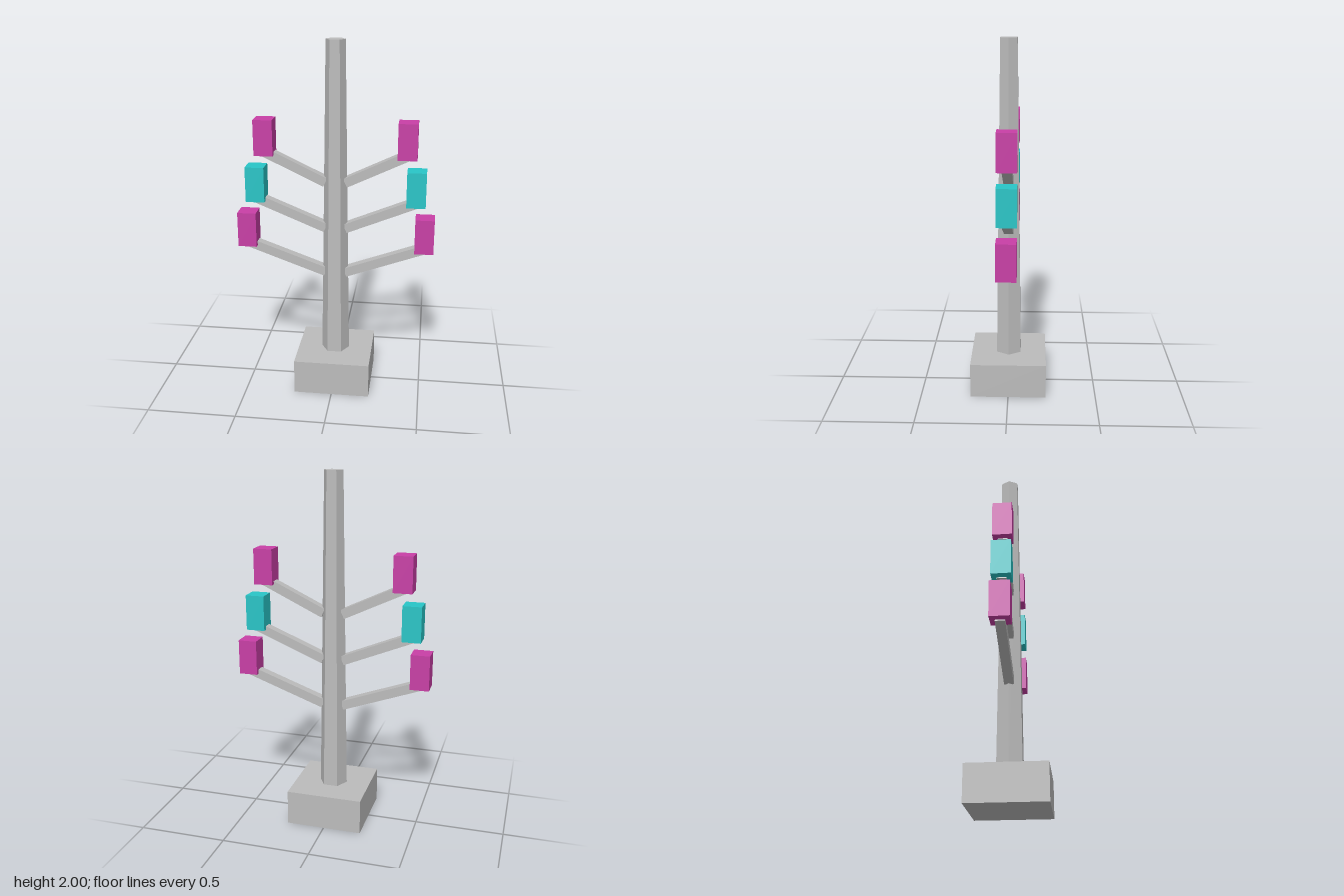
import * as THREE from 'three';

const material = (name, color) => Object.assign(new THREE.MeshStandardMaterial({ color }), { name });

export function createModel() {
  const grey = material('grey', 0xbcbcbc);
  const magenta = material('magenta', 0xc83fa6);
  const cyan = material('cyan', 0x29c5c7);
  const model = new THREE.Group();
  model.name = 'lampTree';

  const add = (name, geometry, mat, x, y, z = 0) => {
    const mesh = new THREE.Mesh(geometry, mat);
    mesh.name = name;
    mesh.position.set(x, y, z);
    model.add(mesh);
    return mesh;
  };

  // Square plinth
  add('base', new THREE.BoxGeometry(0.43, 0.2, 0.43), grey, 0, 0.1);

  // Tapered six-sided trunk with corners pointing left and right
  const trunk = new THREE.CylinderGeometry(0.053, 0.08, 1.8, 6).rotateY(Math.PI / 2).toNonIndexed();
  trunk.computeVertexNormals();
  add('trunk', trunk, grey, 0, 1.1);

  // Mirrored tiers of sloping arms, each carrying an upright block
  const tiers = [
    { reach: 0.5, y: 0.69, mat: magenta },
    { reach: 0.447, y: 0.958, mat: cyan },
    { reach: 0.393, y: 1.225, mat: magenta },
  ];
  const inner = 0.055, rise = 0.163;
  for (const { reach, y, mat } of tiers) {
    for (const [side, label] of [[1, 'left'], [-1, 'right']]) {
      const run = reach + 0.004 - inner;
      const arm = add(label + 'Arm', new THREE.BoxGeometry(Math.hypot(run, rise), 0.052, 0.052), grey,
        side * (inner + run / 2), y + rise / 2);
      arm.rotation.z = side * Math.atan2(rise, run);
      add(label + 'Block', new THREE.BoxGeometry(0.106, 0.2, 0.106), mat, side * reach, y + 0.246);
    }
  }
  return model;
}
